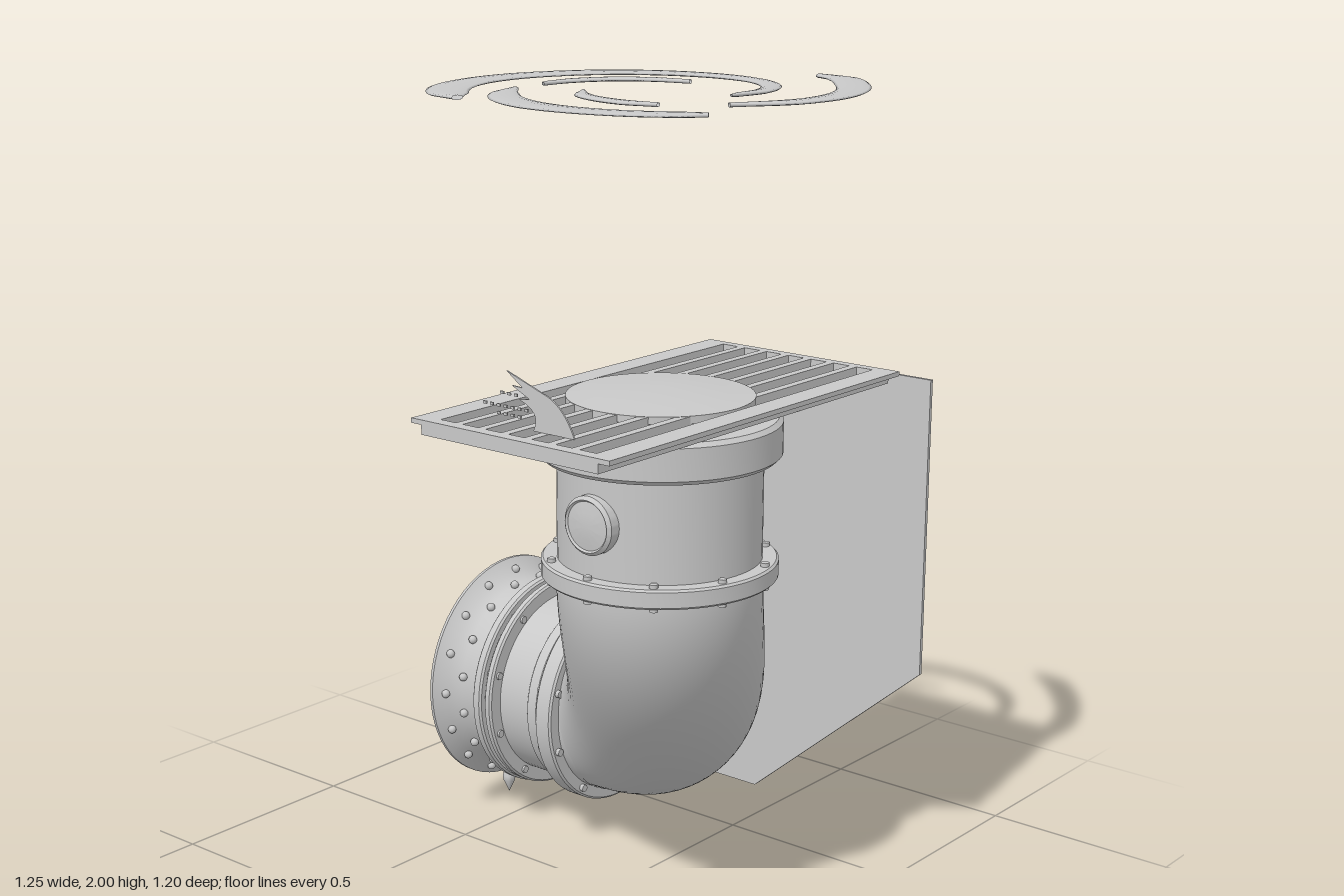
import * as THREE from 'three';
import { toCreasedNormals } from 'three/addons/utils/BufferGeometryUtils.js';

const V = (x, y, z) => new THREE.Vector3(x, y, z);
const PIPE = { y: 0.37, z: -0.3 };      // axis of the horizontal pipe
const RISER = { x: 0.217, z: 0.085 };   // axis of the vertical pipe

export function createModel() {
  const model = new THREE.Group();
  model.name = 'drainPipe';
  const metal = new THREE.MeshStandardMaterial({ color: 0xc8c8c8, side: THREE.DoubleSide });
  metal.name = 'light grey metal';

  const add = (name, geometry, x = 0, y = 0, z = 0, parent = model) => {
    const mesh = new THREE.Mesh(geometry, metal);
    mesh.name = name;
    mesh.position.set(x, y, z);
    parent.add(mesh);
    return mesh;
  };
  const lathe = (pts) => toCreasedNormals(
    new THREE.LatheGeometry(pts.map(([r, a]) => new THREE.Vector2(r, a)), 64), 0.6);
  const ringProfile = (ri, ro, a, b, c = 0.005) =>
    [[ri, a], [ro - c, a], [ro, a + c], [ro, b - c], [ro - c, b], [ri, b], [ri, a]];
  // Profiles turned about the horizontal (x) or vertical (y) pipe axis
  const onPipe = (name, pts) => add(name, lathe(pts).rotateZ(-Math.PI / 2), 0, PIPE.y, PIPE.z);
  const onRiser = (name, pts) => add(name, lathe(pts), RISER.x, 0, RISER.z);

  // Horizontal pipe with flared mouth
  onPipe('horizontalPipe', [[0.24, -0.5], [0.24, -0.2]]);
  onPipe('flaredMouth', [[0.235, -0.49], [0.235, -0.5], [0.241, -0.55], [0.258, -0.585], [0.292, -0.617],
    [0.3, -0.617], [0.3, -0.609], [0.268, -0.582], [0.252, -0.55], [0.243, -0.49]]);
  onPipe('pipeStopper', [[0, -0.42], [0.24, -0.42]]);
  onPipe('outerFlange', ringProfile(0.24, 0.282, -0.484, -0.456));
  onPipe('flangeGasket', ringProfile(0.24, 0.265, -0.456, -0.447));
  onPipe('innerFlange', ringProfile(0.24, 0.278, -0.447, -0.424));
  onPipe('thinBand', ringProfile(0.235, 0.247, -0.327, -0.293, 0.003));
  onPipe('elbowFlangeLower', ringProfile(0.235, 0.273, -0.277, -0.225));

  // Elbow sweeping sideways, forwards and up
  const bend = new THREE.CubicBezierCurve3(V(-0.225, PIPE.y, PIPE.z), V(0.0, PIPE.y, PIPE.z),
    V(RISER.x, 0.68, RISER.z), V(RISER.x, 0.9, RISER.z));
  add('elbow', new THREE.TubeGeometry(bend, 48, 0.238, 64));

  // Vertical pipe
  onRiser('verticalPipe', [[0.236, 0.88], [0.236, 1.265]]);
  onRiser('elbowFlangeUpper', ringProfile(0.23, 0.273, 0.895, 0.941));
  onRiser('topCollar', ringProfile(0.215, 0.278, 1.178, 1.272, 0.01));

  // Rivets on the mouth and bolts through the flanges
  const around = (name, n, r, a, make, phase = 0, vertical = false) => {
    const group = new THREE.Group();
    group.name = name;
    for (let i = 0; i < n; i++) {
      const t = ((i + phase) / n) * Math.PI * 2, c = Math.cos(t) * r, s = Math.sin(t) * r;
      if (vertical) add('bolt', make, RISER.x + c, a, RISER.z + s, group);
      else add('bolt', make, a, PIPE.y + c, PIPE.z + s, group);
    }
    model.add(group);
  };
  const rivet = new THREE.SphereGeometry(0.011, 10, 8);
  const bolt = (length) => new THREE.CylinderGeometry(0.01, 0.01, length, 8);
  const lying = (length) => bolt(length).rotateZ(Math.PI / 2);
  around('mouthRivetsOuter', 16, 0.275, -0.585, rivet);
  around('mouthRivetsInner', 16, 0.257, -0.543, rivet, 0.5);
  around('flangeBolts', 10, 0.256, -0.456, lying(0.076));
  around('elbowBoltsLower', 10, 0.254, -0.25, lying(0.07));
  around('elbowBoltsUpper', 10, 0.254, 0.918, bolt(0.064), 0.5, true);

  // Valve post
  add('valvePost', new THREE.BoxGeometry(0.03, 0.22, 0.03), -0.308, 0.705, -0.303);
  add('valveHead', new THREE.BoxGeometry(0.066, 0.025, 0.066), -0.308, 0.808, -0.303);
  add('valveTip', new THREE.BoxGeometry(0.03, 0.012, 0.03), -0.308, 0.822, -0.303);

  // Drip hanging from the mouth
  add('drip', lathe([[0, 0.005], [0.006, 0.018], [0.016, 0.04], [0.017, 0.052], [0.012, 0.07], [0, 0.08]]),
    -0.607, 0, -0.288);

  // Round inspection cap
  const cap = lathe([[0, 0], [0.068, 0], [0.068, 0.04], [0.06, 0.048], [0.056, 0.043], [0.03, 0.047], [0, 0.049]]);
  add('inspectionCap', cap.rotateX(Math.PI / 2), RISER.x, 1.065, 0.297);

  // Back wall plate
  const wall = new THREE.Shape([[-0.46, 0.09], [0, 0.09], [0.5, 0.52], [0.5, 1.27], [-0.06, 1.27],
    [-0.06, 0.83], [-0.46, 0.65]].map(([x, y]) => new THREE.Vector2(x, y)));
  add('wallPlate', new THREE.ExtrudeGeometry(wall, { depth: 0.009, bevelEnabled: false }), 0, 0, -0.603);

  // Slotted grate: wide lip above a narrower body
  const rect = (Type, x0, x1, z0, z1) => new Type([[x0, z0], [x1, z0], [x1, z1], [x0, z1]]
    .map(([x, z]) => new THREE.Vector2(x, z)));
  const grate = (name, inset, top, depth) => {
    const shape = rect(THREE.Shape, -0.06 + inset, 0.5 - inset, -0.455, 0.6);
    for (let i = 0; i < 7; i++) {
      const x = 0.066 * i;
      shape.holes.push(rect(THREE.Path, x, x + 0.045, -0.43, 0.57));
    }
    add(name, new THREE.ExtrudeGeometry(shape, { depth, bevelEnabled: false }).rotateX(Math.PI / 2), 0, top, 0);
  };
  grate('grateLip', 0, 1.316, 0.011);
  grate('grateBody', 0.03, 1.305, 0.022);
  for (const z of [-0.145, 0.277]) add('grateCrossbar', new THREE.BoxGeometry(0.44, 0.018, 0.026), 0.22, 1.279, z);
  onRiser('grateCover', [[0, 1.3], [0.215, 1.3], [0.215, 1.317], [0.155, 1.321], [0, 1.336]]);

  // Splash standing on the grate, with rows of droplets
  const splash = new THREE.Shape();
  splash.moveTo(0.335, 1.316);
  splash.quadraticCurveTo(0.305, 1.385, 0.25, 1.4);
  splash.lineTo(0.145, 1.436);
  splash.lineTo(0.19, 1.405);
  splash.lineTo(0.16, 1.406);
  splash.lineTo(0.21, 1.383);
  splash.lineTo(0.18, 1.378);
  splash.quadraticCurveTo(0.245, 1.36, 0.22, 1.316);
  add('splash', new THREE.ExtrudeGeometry(splash, { depth: 0.004, bevelEnabled: false }), 0, 0, 0.513);
  for (const [x0, y, n] of [[0.13, 1.386, 3], [0.08, 1.357, 7], [0.12, 1.34, 4]])
    for (let i = 0; i < n; i++)
      add('droplet', new THREE.BoxGeometry(0.009, 0.006, 0.004), x0 + i * 0.02, y, 0.515);

  // Swirl blades: flattened oval sections along a curve of [x, z, half width]
  const blade = (name, pts) => {
    const path = new THREE.CatmullRomCurve3(pts.map(([x, z]) => V(x, 0, z)));
    const n = 48, sides = 12, pos = [], index = [];
    for (let i = 0; i <= n; i++) {
      const f = (i / n) * (pts.length - 1), k = Math.min(Math.floor(f), pts.length - 2);
      const w = THREE.MathUtils.lerp(pts[k][2], pts[k + 1][2], f - k);
      const p = path.getPoint(i / n), t = path.getTangent(i / n);
      for (let j = 0; j < sides; j++) {
        const a = (j / sides) * Math.PI * 2, c = Math.cos(a) * w;
        pos.push(p.x - t.z * c, 1.995 + Math.sin(a) * Math.min(0.005, w), p.z + t.x * c);
        if (i < n) {
          const q = i * sides + j, r = i * sides + (j + 1) % sides;
          index.push(q, r, q + sides, r, r + sides, q + sides);
        }
      }
    }
    const g = new THREE.BufferGeometry();
    g.setAttribute('position', new THREE.Float32BufferAttribute(pos, 3));
    g.setIndex(index);
    g.computeVertexNormals();
    add(name, g);
  };
  blade('swirlLarge', [[-0.015, 0.485, 0.012], [-0.08, 0.445, 0.045], [-0.17, 0.34, 0.05], [-0.22, 0.2, 0.047],
    [-0.215, 0.05, 0.046], [-0.14, -0.1, 0.042], [-0.02, -0.19, 0.035], [0.12, -0.222, 0.029],
    [0.25, -0.2, 0.026], [0.35, -0.13, 0.024], [0.402, -0.03, 0.021], [0.4, 0.08, 0.003]]);
  blade('swirlRight', [[0.305, -0.378, 0.01], [0.39, -0.35, 0.038], [0.47, -0.27, 0.04], [0.55, -0.15, 0.037],
    [0.587, -0.02, 0.034], [0.575, 0.1, 0.028], [0.505, 0.225, 0.006]]);
  blade('swirlFront', [[-0.04, 0.277, 0.008], [0.005, 0.36, 0.032], [0.09, 0.44, 0.04], [0.2, 0.49, 0.043],
    [0.32, 0.5, 0.04], [0.44, 0.475, 0.038], [0.53, 0.425, 0.036], [0.58, 0.39, 0.01]]);
  blade('swirlInnerLeft', [[0.16, -0.086, 0.006], [0.07, -0.068, 0.018], [-0.01, -0.015, 0.02],
    [-0.055, 0.065, 0.018], [-0.065, 0.158, 0.004]]);
  blade('swirlInnerFront', [[0.105, 0.217, 0.004], [0.155, 0.278, 0.019], [0.225, 0.313, 0.021],
    [0.31, 0.328, 0.02], [0.392, 0.315, 0.006]]);

  return model;
}
